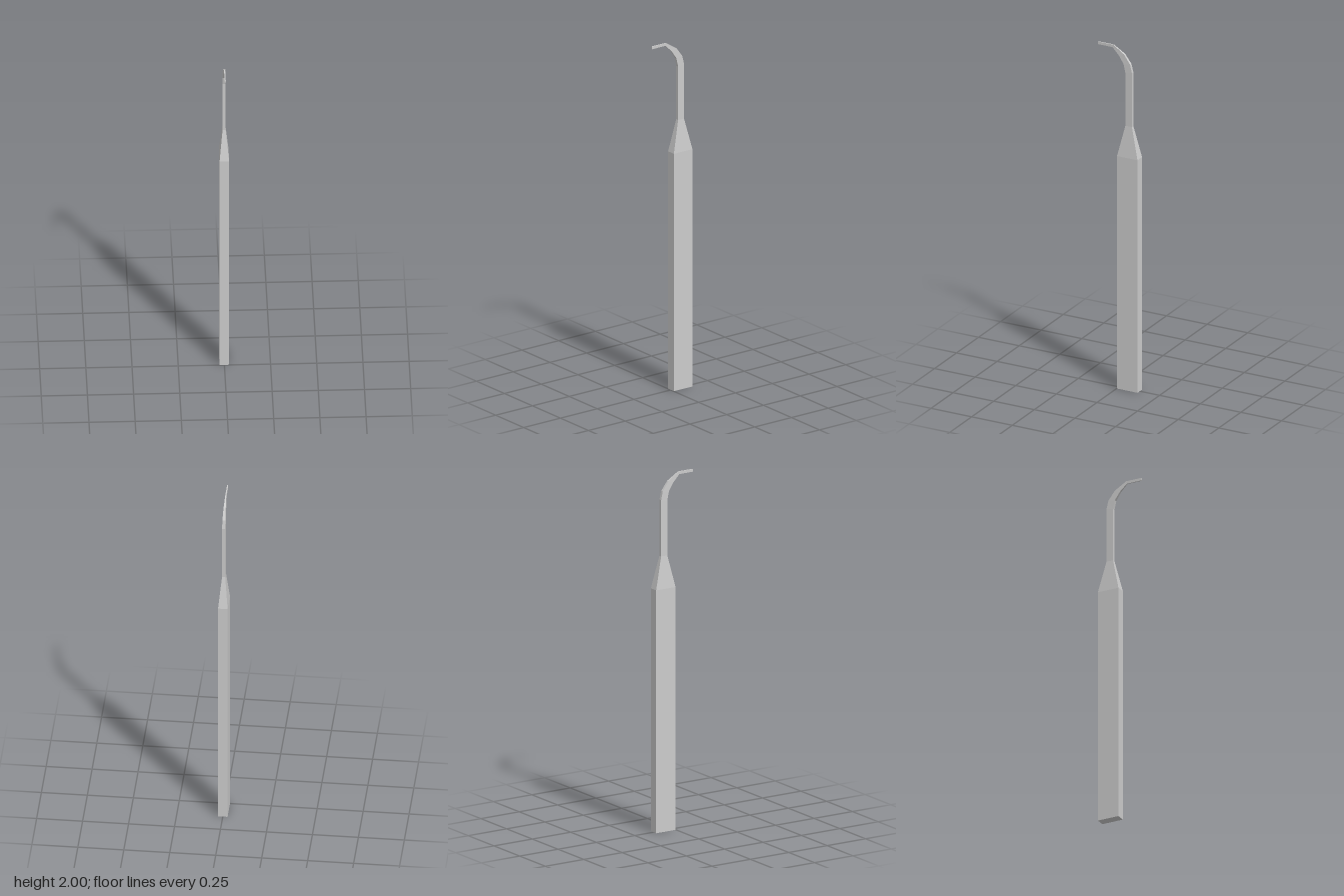
import * as THREE from 'three';

const material = new THREE.MeshStandardMaterial({ color: 0xcccccc, flatShading: true });

// Section: [back z, back y, front z, front y, half width]
function corners([bz, by, fz, fy, w]) {
  return [[-w, by, bz], [w, by, bz], [w, fy, fz], [-w, fy, fz]];
}

// Four-sided loft through a list of sections, with optional end caps
function loft(name, sections, capStart, capEnd) {
  const rings = sections.map(corners);
  const pos = [];
  const quad = (a, b, c, d) => pos.push(...a, ...b, ...c, ...a, ...c, ...d);
  for (let s = 0; s < rings.length - 1; s++) {
    const lo = rings[s], hi = rings[s + 1];
    for (let i = 0; i < 4; i++) {
      const j = (i + 1) % 4;
      quad(lo[i], hi[i], hi[j], lo[j]);
    }
  }
  if (capStart) quad(...rings[0]);
  if (capEnd) quad(...rings[rings.length - 1].slice().reverse());
  const geometry = new THREE.BufferGeometry();
  geometry.setAttribute('position', new THREE.Float32BufferAttribute(pos, 3));
  geometry.computeVertexNormals();
  const mesh = new THREE.Mesh(geometry, material);
  mesh.name = name;
  return mesh;
}

export function createModel() {
  const group = new THREE.Group();
  group.name = 'hookedTool';

  // Sections where neighbouring parts meet
  const shoulder = [-0.128, 1.363, -0.002, 1.363, 0.026];
  const neckBase = [-0.084, 1.543, -0.044, 1.543, 0.0085];
  const neckTop = [-0.084, 1.858, -0.044, 1.85, 0.0085];
  const tipStart = [0.033, 2.0, 0.038, 1.985, 0.003];

  group.add(
    loft('handle', [[-0.128, 0, -0.002, 0, 0.026], shoulder], true, false),
    loft('taperedShoulder', [shoulder, neckBase], false, false),
    loft('neck', [neckBase, neckTop], false, false),
    loft('bend', [
      neckTop,
      [-0.073, 1.905, -0.033, 1.9, 0.0078],
      [-0.035, 1.957, -0.004, 1.944, 0.006],
      tipStart,
    ], false, false),
    loft('tip', [tipStart, [0.128, 2.0, 0.128, 1.985, 0.003]], false, true),
  );
  return group;
}
